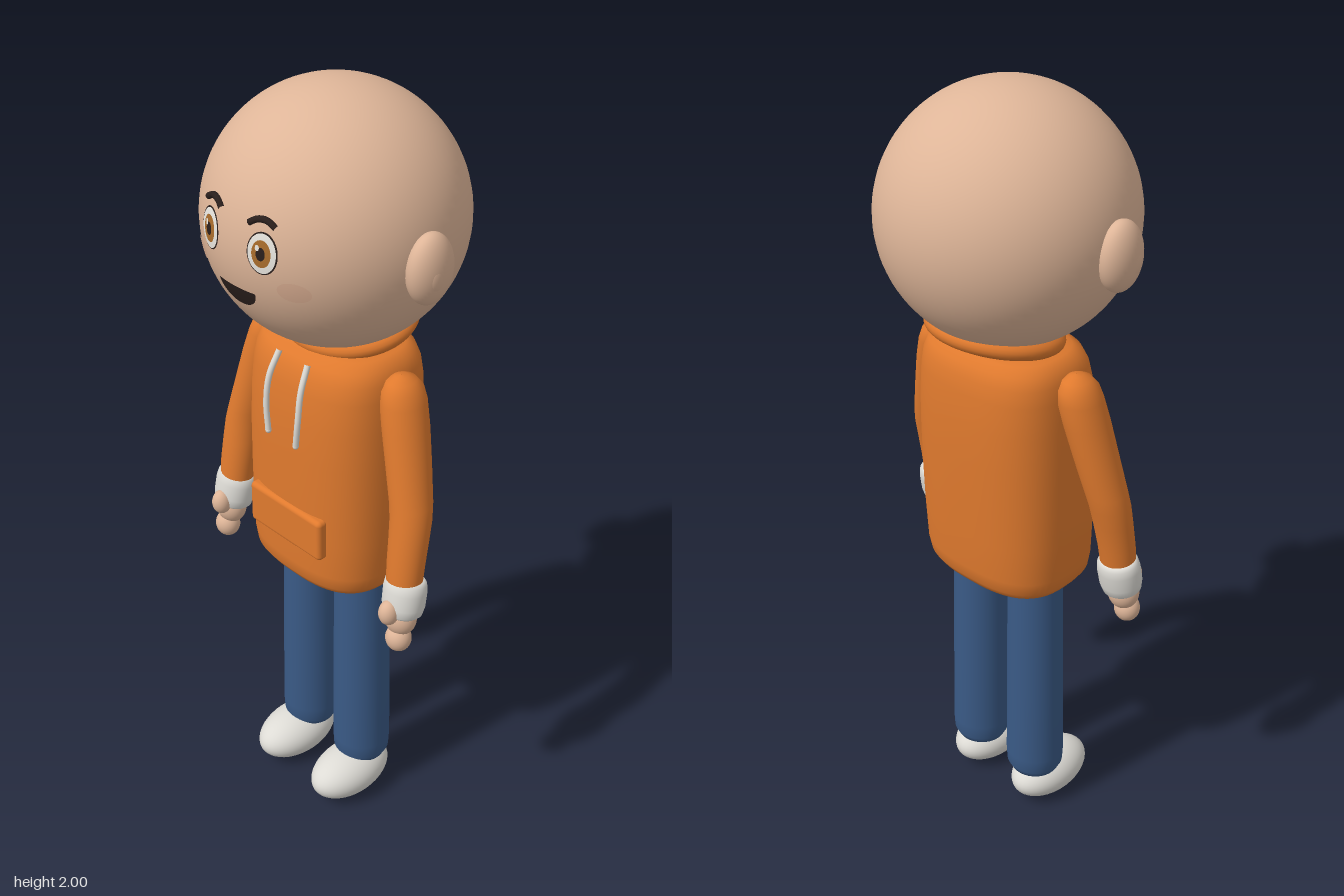
import * as THREE from 'three';
import { RoundedBoxGeometry } from 'three/addons/geometries/RoundedBoxGeometry.js';

const paint = (name, color) => {
  const m = new THREE.MeshStandardMaterial({ color });
  m.name = name;
  return m;
};

// Smooth skin over horizontal superellipse rings, listed from bottom to top: [x, y, z, rx, rz]
function loft(rings, power = 2, sides = 40) {
  const pos = [], idx = [];
  const bend = (v) => Math.sign(v) * Math.abs(v) ** (2 / power);
  rings.forEach(([x, y, z, rx, rz], i) => {
    for (let j = 0; j < sides; j++) {
      const a = (j / sides) * Math.PI * 2;
      pos.push(x + rx * bend(Math.cos(a)), y, z + rz * bend(Math.sin(a)));
      if (i === rings.length - 1) continue;
      const p = i * sides + j, q = i * sides + ((j + 1) % sides);
      idx.push(p, p + sides, q, q, p + sides, q + sides);
    }
  });
  const g = new THREE.BufferGeometry();
  g.setAttribute('position', new THREE.Float32BufferAttribute(pos, 3));
  g.setIndex(idx);
  g.computeVertexNormals();
  return g;
}

const HEAD_Y = 1.695, HEAD_R = 0.305;

// Height of the face surface, lifted slightly off the head
const faceZ = (x, y, lift) => Math.sqrt((HEAD_R + lift) ** 2 - x * x - (y - HEAD_Y) ** 2);

// Thin disc (or part of one) wrapped on to the face
function decal(cx, cy, rx, ry, lift, start = 0, length = Math.PI * 2) {
  const g = new THREE.RingGeometry(0.001, 1, 40, 6, start, length);
  const p = g.attributes.position;
  for (let i = 0; i < p.count; i++) {
    const x = cx + p.getX(i) * rx, y = cy + p.getY(i) * ry;
    p.setXYZ(i, x, y, faceZ(x, y, lift));
  }
  g.computeVertexNormals();
  return g;
}

export function createModel() {
  const root = new THREE.Group();
  root.name = 'hoodedFigure';
  const skin = paint('skin', 0xdeb598);
  const blush = paint('blush', 0xd9ad91);
  const orange = paint('orange cloth', 0xe07a2e);
  const denim = paint('denim', 0x3a5a86);
  const pale = paint('pale grey', 0xdddbd5);
  const white = paint('eye white', 0xf4f1ea);
  const brown = paint('iris brown', 0xa86c2c);
  const dark = paint('dark brown', 0x2a1f1c);

  const add = (name, geometry, material) => {
    const mesh = new THREE.Mesh(geometry, material);
    mesh.name = name;
    root.add(mesh);
    return mesh;
  };
  const ball = (name, material, x, y, z, rx, ry, rz) => {
    const g = new THREE.SphereGeometry(1, 40, 28).scale(rx, ry, rz).translate(x, y, z);
    return add(name, g, material);
  };

  // Head and neck
  add('head', new THREE.SphereGeometry(HEAD_R, 64, 48).translate(0, HEAD_Y, 0), skin);
  add('neck', new THREE.CylinderGeometry(0.075, 0.08, 0.12, 32).translate(0, 1.39, -0.01), skin);
  add('mouth', decal(0, 1.618, 0.058, 0.047, 0.004, Math.PI, Math.PI), dark);

  // Hoodie body
  add('hoodieBody', loft([
    [0, 0.735, 0.005, 0.001, 0.001], [0, 0.736, 0.005, 0.165, 0.12],
    [0, 0.745, 0.005, 0.19, 0.143], [0, 0.765, 0.005, 0.204, 0.156],
    [0, 0.8, 0.004, 0.21, 0.161], [0, 0.9, 0.002, 0.214, 0.164],
    [0, 1.0, 0, 0.215, 0.166], [0, 1.12, -0.002, 0.214, 0.168],
    [0, 1.22, -0.004, 0.211, 0.167], [0, 1.3, -0.006, 0.206, 0.161],
    [0, 1.34, -0.008, 0.2, 0.153], [0, 1.37, -0.01, 0.188, 0.14],
    [0, 1.387, -0.012, 0.165, 0.118], [0, 1.392, -0.012, 0.13, 0.09],
    [0, 1.393, -0.012, 0.001, 0.001],
  ], 2.7, 64), orange);

  // Hood collar, tilted up at the back
  const collar = add('hoodCollar',
    new THREE.TorusGeometry(0.134, 0.034, 20, 56).scale(1.04, 0.94, 0.75), orange);
  collar.position.set(0, 1.42, -0.045);
  collar.rotation.x = Math.PI / 2 + 0.2;

  // Front pocket
  add('pocket', new RoundedBoxGeometry(0.25, 0.115, 0.032, 4, 0.012)
    .translate(0, 0.917, 0.16), orange);

  for (const s of [1, -1]) {
    const side = s > 0 ? 'left' : 'right';

    // Face details
    ball(side + 'Ear', skin, s * 0.31, 1.678, 0.022, 0.042, 0.084, 0.062);
    ball(side + 'InnerEar', skin, s * 0.337, 1.672, 0.03, 0.015, 0.04, 0.028);
    add(side + 'EyeRim', decal(s * 0.083, 1.724, 0.037, 0.048, 0.002), dark);
    add(side + 'EyeWhite', decal(s * 0.083, 1.724, 0.034, 0.045, 0.003), white);
    add(side + 'Iris', decal(s * 0.083, 1.724, 0.023, 0.031, 0.004), brown);
    add(side + 'Pupil', decal(s * 0.083, 1.724, 0.011, 0.015, 0.005), dark);
    add(side + 'EyeGlint', decal(s * 0.083 - 0.008, 1.737, 0.005, 0.007, 0.006), white);
    add(side + 'Cheek', decal(s * 0.148, 1.645, 0.034, 0.024, 0.002), blush);
    const brow = [[0.044, 1.783], [0.062, 1.794], [0.085, 1.796], [0.108, 1.784]]
      .map(([x, y]) => new THREE.Vector3(s * x, y, faceZ(x, y, 0.002)));
    add(side + 'Eyebrow', new THREE.TubeGeometry(
      new THREE.CatmullRomCurve3(brow), 20, 0.0075, 10), dark);

    // Drawstring
    const cord = [[0.048, 1.37, 0.135], [0.054, 1.31, 0.163], [0.055, 1.24, 0.174], [0.048, 1.165, 0.176]]
      .map(([x, y, z]) => new THREE.Vector3(s * x, y, z));
    add(side + 'Drawstring', new THREE.TubeGeometry(
      new THREE.CatmullRomCurve3(cord), 24, 0.0075, 10), pale);
    ball(side + 'DrawstringTip', pale, s * 0.048, 1.165, 0.176, 0.0075, 0.008, 0.0075);

    // Sleeve, bent at the elbow
    add(side + 'Sleeve', loft([
      [s * 0.307, 0.83, 0.068, 0.045, 0.042], [s * 0.304, 0.9, 0.06, 0.048, 0.044],
      [s * 0.3, 0.97, 0.048, 0.05, 0.047], [s * 0.296, 1.02, 0.039, 0.051, 0.05],
      [s * 0.288, 1.06, 0.032, 0.052, 0.052], [s * 0.265, 1.15, 0.02, 0.053, 0.056],
      [s * 0.242, 1.24, 0.009, 0.054, 0.059], [s * 0.226, 1.3, 0.002, 0.052, 0.059],
      [s * 0.22, 1.33, 0, 0.046, 0.053], [s * 0.216, 1.35, 0, 0.033, 0.038],
      [s * 0.214, 1.36, 0, 0.015, 0.017], [s * 0.214, 1.362, 0, 0.001, 0.001],
    ]), orange);

    // Cuff
    const cuff = add(side + 'Cuff', loft([
      [0, -0.052, 0, 0.001, 0.001], [0, -0.051, 0, 0.04, 0.038],
      [0, -0.042, 0, 0.05, 0.047], [0, -0.02, 0, 0.055, 0.051],
      [0, 0.02, 0, 0.056, 0.051], [0, 0.04, 0, 0.053, 0.048],
      [0, 0.049, 0, 0.044, 0.041], [0, 0.05, 0, 0.001, 0.001],
    ]), pale);
    cuff.position.set(s * 0.311, 0.812, 0.069);
    cuff.rotation.set(-0.18, 0, s * 0.06);

    // Hand
    ball(side + 'Palm', skin, s * 0.314, 0.752, 0.083, 0.041, 0.046, 0.038);
    ball(side + 'Fingers', skin, s * 0.319, 0.698, 0.094, 0.033, 0.036, 0.032);
    ball(side + 'Thumb', skin, s * 0.309, 0.785, 0.119, 0.025, 0.034, 0.027);

    // Trouser leg
    add(side + 'TrouserLeg', loft([
      [s * 0.1, 0.098, 0, 0.001, 0.001], [s * 0.1, 0.1, 0, 0.045, 0.045],
      [s * 0.1, 0.11, 0, 0.065, 0.064], [s * 0.1, 0.13, 0, 0.075, 0.074],
      [s * 0.1, 0.17, 0, 0.077, 0.076], [s * 0.098, 0.4, 0, 0.074, 0.074],
      [s * 0.095, 0.7, 0, 0.07, 0.072], [s * 0.094, 0.78, 0, 0.068, 0.07],
    ]), denim);

    // Shoe
    ball(side + 'Shoe', pale, s * 0.107, 0.066, 0.05, 0.078, 0.066, 0.125);
  }
  return root;
}
